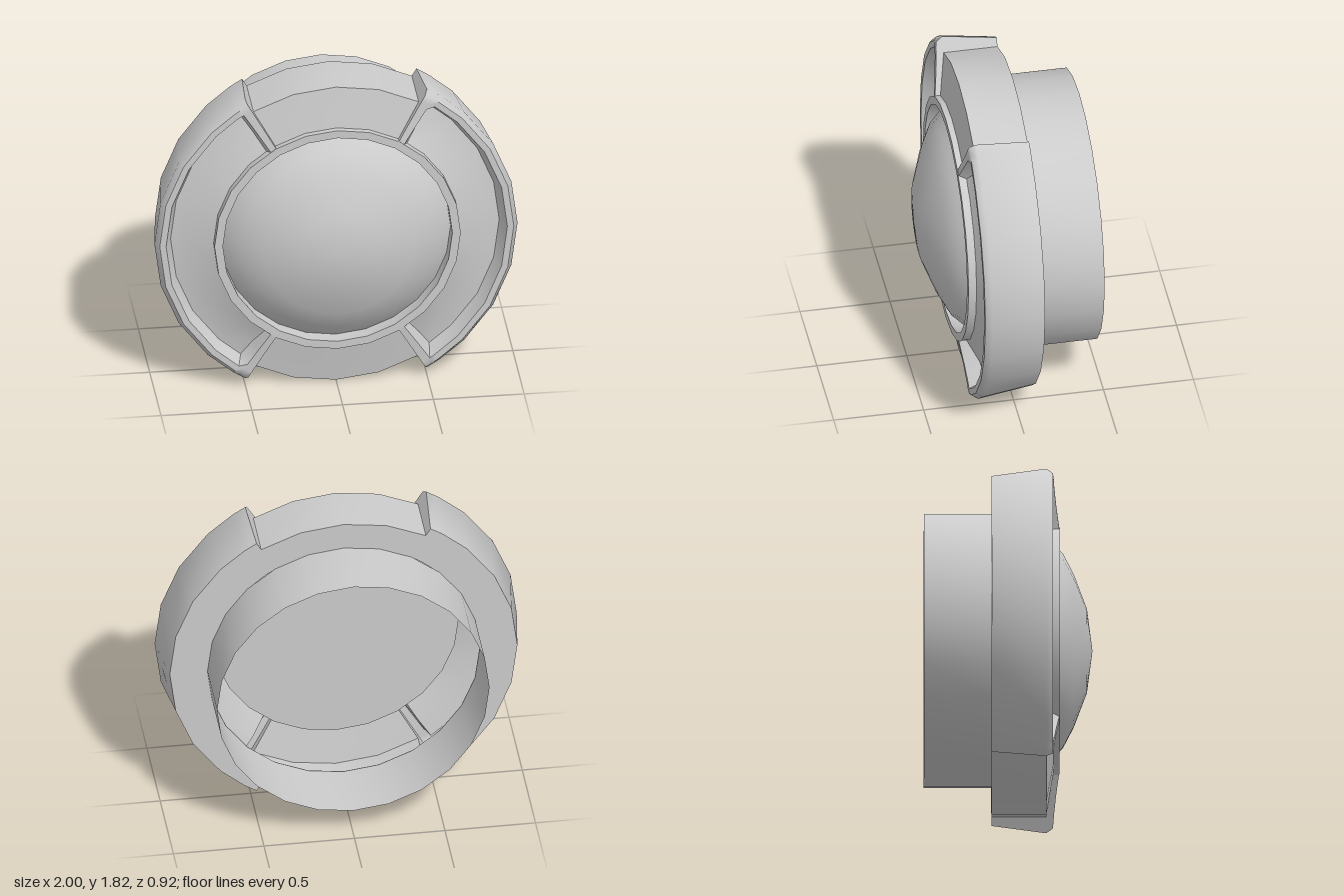
import * as THREE from 'three';
import { toCreasedNormals } from 'three/addons/utils/BufferGeometryUtils.js';

const material = new THREE.MeshStandardMaterial({ color: 0xcccccc, side: THREE.DoubleSide });

// Skin over columns [angle in degrees, profile of [radius, z] points] around the z axis.
function sheet(columns, crease) {
  const pos = [];
  const grid = columns.map(([deg, profile]) => {
    const a = THREE.MathUtils.degToRad(deg);
    return profile.map(([r, z]) => new THREE.Vector3(r * Math.cos(a), r * Math.sin(a), z));
  });
  const tri = (a, b, c) => {
    if (a.distanceTo(b) < 1e-5 || b.distanceTo(c) < 1e-5 || a.distanceTo(c) < 1e-5) return;
    for (const p of [a, b, c]) pos.push(p.x, p.y, p.z);
  };
  grid.forEach((col, i) => {
    const next = grid[(i + 1) % grid.length];
    for (let j = 0; j < col.length - 1; j++) {
      tri(col[j], next[j], next[j + 1]);
      tri(col[j], next[j + 1], col[j + 1]);
    }
  });
  const geo = new THREE.BufferGeometry();
  geo.setAttribute('position', new THREE.Float32BufferAttribute(pos, 3));
  return toCreasedNormals(geo, crease);
}

// Full turn of one profile in 24 facets.
function turned(profile, crease = 0.6) {
  const columns = [];
  for (let d = 0; d < 360; d += 15) columns.push([d, profile]);
  return sheet(columns, crease);
}

export function createModel() {
  const model = new THREE.Group();
  const body = new THREE.Group();
  body.name = 'capBody';
  body.position.y = 0.906;
  model.add(body);
  const add = (name, geometry) => {
    const mesh = new THREE.Mesh(geometry, material);
    mesh.name = name;
    body.add(mesh);
    return mesh;
  };

  // Flange: two wide side grips with raised borders, and lower sectors at top and bottom
  const sector = [[0.75, -0.09], [0.91, -0.09], [0.91, 0.21], [0.88, 0.215],
    [0.85, 0.22], [0.82, 0.225], [0.78, 0.232], [0.675, 0.25]];
  const border = [[0.75, -0.09], [0.96, -0.09], [1, 0.21], [0.975, 0.245],
    [0.94, 0.25], [0.905, 0.252], [0.8, 0.263], [0.675, 0.28]];
  const panel = [[0.75, -0.09], [0.96, -0.09], [1, 0.21], [0.975, 0.245],
    [0.94, 0.245], [0.905, 0.16], [0.8, 0.18], [0.675, 0.24]];
  const columns = [];
  for (const start of [0, 180]) {
    columns.push([start - 60, sector], [start - 60, border], [start - 57, border], [start - 55, panel]);
    for (let d = -45; d <= 45; d += 15) columns.push([start + d, panel]);
    columns.push([start + 55, panel], [start + 57, border], [start + 60, border], [start + 60, sector]);
    columns.push([start + 75, sector], [start + 90, sector], [start + 105, sector]);
  }
  add('gripFlange', sheet(columns, 0.9));

  // Open sleeve at the back
  add('rearSleeve', turned([[0.752, -0.46], [0.752, -0.09]]));

  // Thin ring around the dome
  add('domeRing', turned([[0.678, 0.2], [0.678, 0.283], [0.632, 0.283], [0.632, 0.2]]));

  // Shallow faceted dome
  add('dome', turned([[0.632, 0.2], [0.535, 0.3], [0.42, 0.36], [0.23, 0.432], [0, 0.462]], 0.8));

  // Flat plate closing the dome from behind
  const plate = add('backPlate', new THREE.CircleGeometry(0.678, 24));
  plate.rotation.y = Math.PI;
  plate.position.z = 0.2;

  return model;
}
